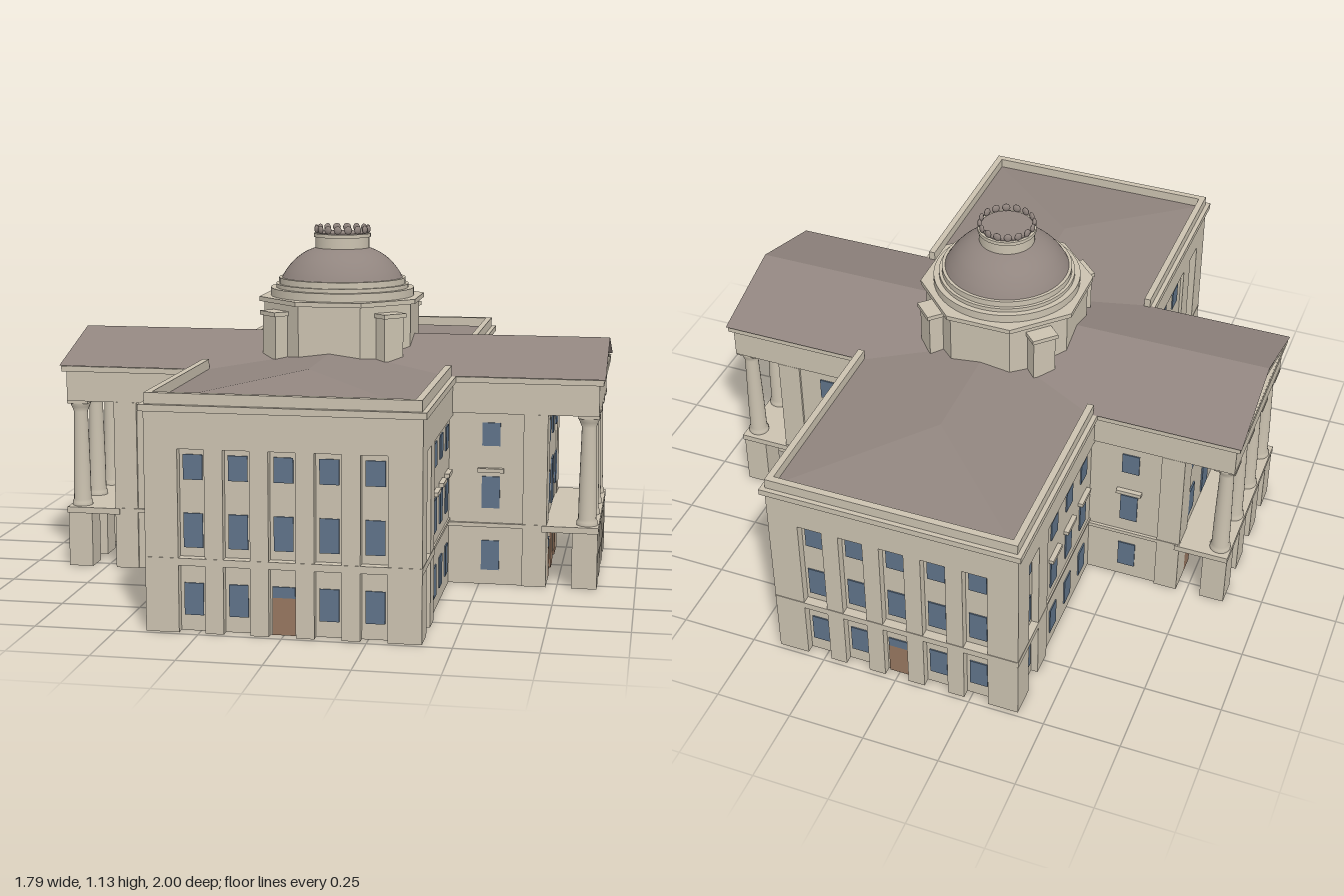
import * as THREE from 'three';

const material = (name, color, side = THREE.FrontSide) => {
  const m = new THREE.MeshStandardMaterial({ color, side });
  m.name = name;
  return m;
};

export function createModel() {
  const stone = material('stone', 0xcbc2b0);
  const roofing = material('roofing', 0x91857f, THREE.DoubleSide);
  const glass = material('glass', 0x5f7389);
  const wood = material('wood', 0x96765f);
  const rows = [[0.048, 0.145], [0.252, 0.355], [0.455, 0.53]];
  const model = new THREE.Group();
  model.name = 'domedBuilding';

  const add = (parent, name, geometry, mat) => {
    const mesh = new THREE.Mesh(geometry, mat);
    mesh.name = name;
    parent.add(mesh);
    return mesh;
  };
  const group = (parent, name, turn = 0) => {
    const g = new THREE.Group();
    g.name = name;
    g.rotation.y = turn;
    parent.add(g);
    return g;
  };
  // Box given by its limits on each axis
  const box = (parent, name, mat, x0, x1, y0, y1, z0, z1) => {
    const m = add(parent, name, new THREE.BoxGeometry(Math.abs(x1 - x0), Math.abs(y1 - y0), Math.abs(z1 - z0)), mat);
    m.position.set((x0 + x1) / 2, (y0 + y1) / 2, (z0 + z1) / 2);
    return m;
  };
  // Thin plate on a wall facing z or facing x
  const plateZ = (p, name, mat, x, w, y0, y1, z) => box(p, name, mat, x - w / 2, x + w / 2, y0, y1, z - 0.003, z + 0.003);
  const plateX = (p, name, mat, z, w, y0, y1, x) => box(p, name, mat, x - 0.003, x + 0.003, y0, y1, z - w / 2, z + w / 2);
  // Sheet of flat facets from triangles or quads
  const sheet = (parent, name, faces, mat) => {
    const p = [];
    faces.forEach(f => {
      for (let i = 1; i < f.length - 1; i++) p.push(...f[0], ...f[i], ...f[i + 1]);
    });
    const g = new THREE.BufferGeometry();
    g.setAttribute('position', new THREE.Float32BufferAttribute(p, 3));
    g.computeVertexNormals();
    return add(parent, name, g, mat);
  };

  // Main block, open underneath
  const main = group(model, 'mainBlock');
  for (const s of [1, -1]) {
    box(main, 'sideWall', stone, s * 0.365, s * 0.387, 0, 0.56, -0.955, 0.955);
    box(main, 'endWall', stone, -0.387, 0.387, 0, 0.56, s * 0.935, s * 0.957);
  }
  box(main, 'entablature', stone, -0.41, 0.41, 0.55, 0.66, -0.985, 0.985);
  box(main, 'cornice', stone, -0.422, 0.422, 0.66, 0.68, -1, 1);

  for (const turn of [0, Math.PI]) {
    const end = group(main, 'mainEnd', turn);
    const bays = [-0.27, -0.135, 0, 0.135, 0.27];
    // Piers between the recessed bays
    const edges = [-0.41, ...bays.flatMap(x => [x - 0.04, x + 0.04]), 0.41];
    for (let i = 0; i < edges.length; i += 2)
      box(end, 'pier', stone, edges[i], edges[i + 1], 0, 0.555, 0.95, 0.985);
    box(end, 'stringCourse', stone, -0.408, 0.408, 0.203, 0.225, 0.95, 0.987);
    bays.forEach(x => rows.forEach(([a, b], r) => {
      if (x === 0 && r === 0) {
        plateZ(end, 'door', wood, 0, 0.068, 0, 0.112, 0.958);
        plateZ(end, 'doorLight', glass, 0, 0.068, 0.112, b, 0.958);
      } else plateZ(end, 'window', glass, x, 0.058, a, b, 0.958);
    }));
    // Long sides, from the corner to the wing
    for (const s of [1, -1]) {
      box(end, 'cornerPier', stone, s * 0.36, s * 0.41, 0, 0.555, 0.89, 0.984);
      box(end, 'innerPier', stone, s * 0.36, s * 0.41, 0, 0.555, 0.725, 0.805);
      box(end, 'sideStringCourse', stone, s * 0.36, s * 0.411, 0.203, 0.225, 0.725, 0.984);
      box(end, 'sideFacing', stone, s * 0.38, s * 0.4, 0, 0.555, 0.28, 0.725);
      box(end, 'sideBand', stone, s * 0.38, s * 0.405, 0.205, 0.215, 0.28, 0.725);
      rows.forEach(([a, b]) => {
        plateX(end, 'cornerWindow', glass, 0.85, 0.058, a, b, s * 0.388);
        for (const z of [0.645, 0.505, 0.365]) plateX(end, 'sideWindow', glass, z, 0.058, a, b, s * 0.401);
      });
      for (const z of [0.645, 0.505, 0.365])
        box(end, 'windowHood', stone, s * 0.39, s * 0.416, 0.37, 0.383, z - 0.042, z + 0.042);
      box(end, 'parapetSide', stone, s * 0.386, s * 0.407, 0.67, 0.713, 0.3, 0.985);
    }
    box(end, 'parapetEnd', stone, -0.407, 0.407, 0.67, 0.713, 0.963, 0.985);
    // Hipped roof half
    const [A, B, C, D] = [[-0.386, 0.681, 0.963], [0.386, 0.681, 0.963], [0.386, 0.681, 0], [-0.386, 0.681, 0]];
    const P = [0, 0.732, 0.58], Q = [0, 0.732, 0];
    sheet(end, 'hippedRoof', [[A, B, P], [B, C, Q, P], [D, A, P, Q]], roofing);
  }

  // Wings with raised porticos
  const column = new THREE.LatheGeometry(
    [[0.034, 0], [0.034, 0.012], [0.029, 0.02], [0.028, 0.12], [0.023, 0.318], [0.03, 0.335], [0.034, 0.345], [0.034, 0.35]]
      .map(p => new THREE.Vector2(...p)), 20);
  const triangle = (w, y0, y1) => [[-w, y0], [w, y0], [0, y1]].map(p => new THREE.Vector2(...p));
  for (const turn of [0, Math.PI]) {
    const wing = group(model, 'wing', turn);
    box(wing, 'wingWall', stone, 0.38, 0.71, 0, 0.57, -0.285, 0.285);
    box(wing, 'wingEntablature', stone, 0.38, 0.875, 0.56, 0.66, -0.292, 0.292);
    box(wing, 'wingCornice', stone, 0.38, 0.888, 0.66, 0.678, -0.305, 0.305);
    box(wing, 'porchFloor', stone, 0.7, 0.88, 0.182, 0.202, -0.3, 0.3);
    for (const s of [1, -1]) {
      box(wing, 'cornerPilaster', stone, 0.638, 0.715, 0, 0.56, s * 0.2, s * 0.293);
      box(wing, 'wingBand', stone, 0.4, 0.717, 0.19, 0.203, s * 0.27, s * 0.295);
      rows.forEach(([a, b]) => plateZ(wing, 'wingWindow', glass, 0.535, 0.058, a, b, s * 0.286));
      box(wing, 'wingWindowHood', stone, 0.493, 0.577, 0.37, 0.383, s * 0.28, s * 0.302);
    }
    // Portico piers and columns
    for (const z of [-0.25, -0.085, 0.085, 0.25]) {
      box(wing, 'porticoPier', stone, 0.797, 0.878, 0, 0.185, z - 0.043, z + 0.043);
      add(wing, 'column', column, stone).position.set(0.842, 0.202, z);
      box(wing, 'columnCap', stone, 0.807, 0.877, 0.55, 0.562, z - 0.035, z + 0.035);
    }
    // Doors and windows behind the portico
    for (const z of [-0.17, 0, 0.17]) {
      const wide = z === 0;
      const w = wide ? 0.08 : 0.06, top = wide ? 0.125 : 0.1;
      plateX(wing, 'porchDoor', wood, z, w, 0, top, 0.712);
      plateX(wing, 'porchDoorLight', glass, z, w, top + 0.003, top + 0.032, 0.712);
      plateX(wing, 'porchWindow', glass, z, wide ? 0.07 : 0.06, wide ? 0.22 : 0.25, wide ? 0.37 : 0.355, 0.712);
      plateX(wing, 'porchUpperWindow', glass, z, 0.06, ...rows[2], 0.712);
    }
    // Pediment frame and recessed panel, extruded along x
    const frame = new THREE.Shape(triangle(0.298, 0.668, 0.748));
    frame.holes.push(new THREE.Path(triangle(0.215, 0.679, 0.735).reverse()));
    const panel = new THREE.Shape(triangle(0.29, 0.668, 0.744));
    [[frame, 0.045, 0.885, 'pedimentFrame'], [panel, 0.4, 0.862, 'pedimentPanel']].forEach(([shape, depth, front, name]) => {
      const m = add(wing, name, new THREE.ExtrudeGeometry(shape, { depth, bevelEnabled: false }), stone);
      m.rotation.y = Math.PI / 2;
      m.position.x = front - depth;
    });
    // Gabled roof half
    sheet(wing, 'gabledRoof', [1, -1].map(s => {
      const f = [[0, 0.68, s * 0.31], [0.893, 0.68, s * 0.31], [0.893, 0.775, 0], [0, 0.775, 0]];
      return s > 0 ? f : f.reverse();
    }), roofing);
  }

  // Octagonal drum
  const dome = group(model, 'domeTower');
  const octagon = (name, apothem, y0, y1) => {
    const r = apothem / Math.cos(Math.PI / 8);
    const g = new THREE.CylinderGeometry(r, r, y1 - y0, 8).toNonIndexed();
    g.computeVertexNormals();
    const m = add(dome, name, g, stone);
    m.rotation.y = Math.PI / 8;
    m.position.y = (y0 + y1) / 2;
  };
  octagon('drum', 0.245, 0.68, 0.89);
  octagon('drumCornice', 0.261, 0.885, 0.9);
  for (let i = 0; i < 4; i++) {
    const buttress = group(dome, 'drumButtress', Math.PI / 4 + i * Math.PI / 2);
    box(buttress, 'buttressShaft', stone, -0.038, 0.038, 0.68, 0.85, 0.2, 0.292);
    box(buttress, 'buttressCap', stone, -0.044, 0.044, 0.848, 0.862, 0.2, 0.3);
  }
  // Round steps under the dome
  [[0.24, 0.9, 0.927], [0.222, 0.927, 0.94], [0.212, 0.94, 0.96]].forEach(([r, a, b]) => {
    add(dome, 'domeStep', new THREE.CylinderGeometry(r, r, b - a, 48), stone).position.y = (a + b) / 2;
  });
  const cap = new THREE.SplineCurve([[0.203, 0.958], [0.187, 0.985], [0.16, 1.017], [0.125, 1.043], [0.085, 1.06]]
    .map(p => new THREE.Vector2(...p)));
  add(dome, 'domeShell', new THREE.LatheGeometry(cap.getPoints(16), 48), roofing);
  // Crown lantern
  add(dome, 'lantern', new THREE.CylinderGeometry(0.09, 0.09, 0.055, 40), stone).position.y = 1.075;
  add(dome, 'lanternRim', new THREE.CylinderGeometry(0.095, 0.095, 0.012, 40), stone).position.y = 1.1;
  add(dome, 'lanternRoof', new THREE.CylinderGeometry(0.086, 0.086, 0.004, 40), roofing).position.y = 1.107;
  const ball = new THREE.SphereGeometry(0.0135, 10, 8);
  for (let i = 0; i < 16; i++) {
    const a = (i / 16) * Math.PI * 2;
    const m = add(dome, 'crownOrnament', ball, roofing);
    m.position.set(Math.sin(a) * 0.088, 1.12, Math.cos(a) * 0.088);
    m.rotation.y = a;
    m.scale.z = 0.5;
  }
  return model;
}
